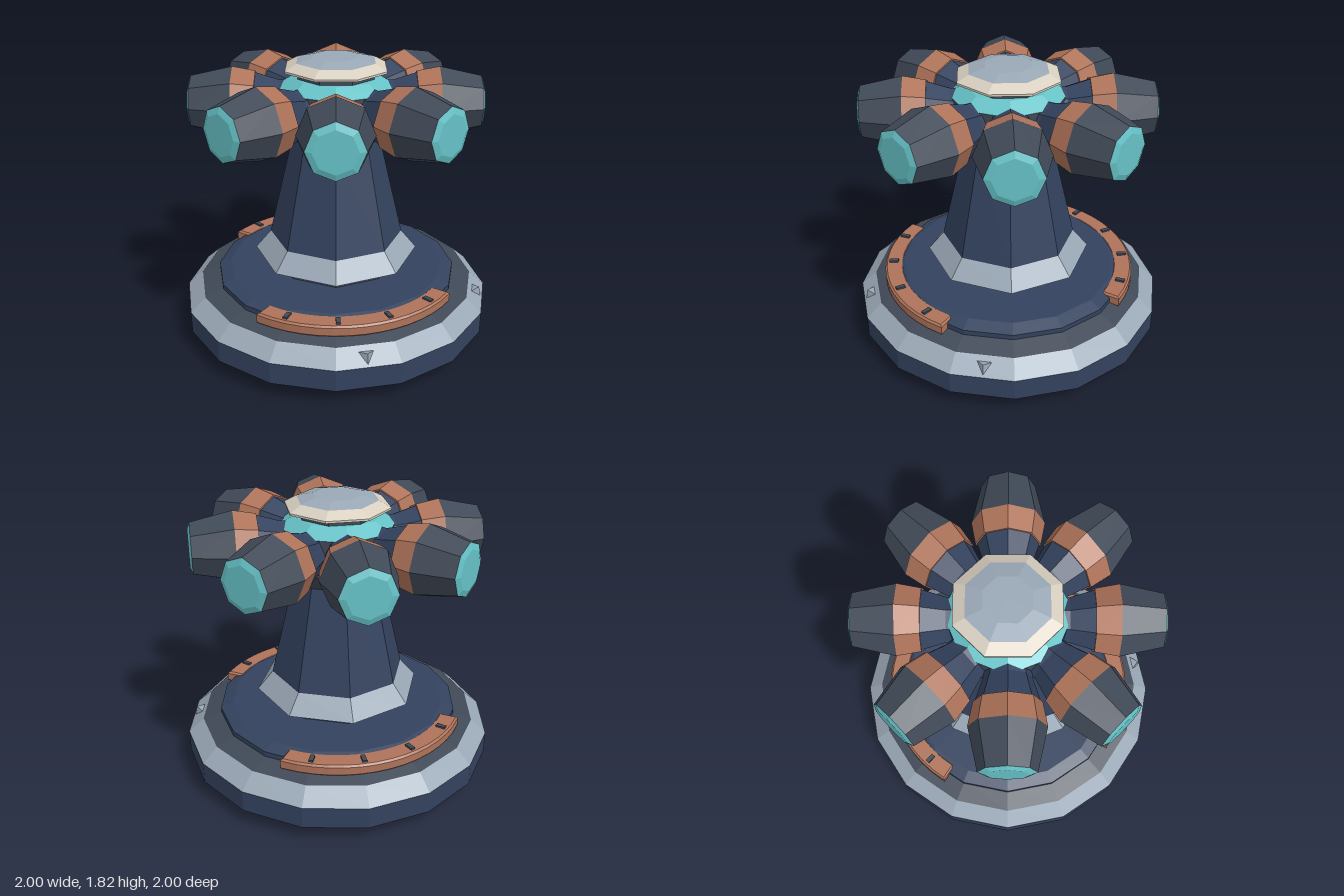
import * as THREE from 'three';

const material = (name, color) => {
  const m = new THREE.MeshStandardMaterial({ color });
  m.name = name;
  return m;
};

export function createModel() {
  const navy = material('navy', 0x33425e);
  const charcoal = material('charcoal', 0x404957);
  const teal = material('teal', 0x66c2c7);
  const copper = material('copper', 0xae7359);
  const steel = material('steel', 0x9aa8b6);
  const ivory = material('ivory', 0xd8cfc0);

  const model = new THREE.Group();
  model.name = 'turretTower';

  // Faceted mesh with one normal per face
  const add = (parent, name, geometry, mat) => {
    const g = geometry.index ? geometry.toNonIndexed() : geometry;
    g.computeVertexNormals();
    const mesh = new THREE.Mesh(g, mat);
    mesh.name = name;
    parent.add(mesh);
    return mesh;
  };
  // Turned part from [radius, height] pairs
  const turned = (points, sides) =>
    new THREE.LatheGeometry(points.map(([r, y]) => new THREE.Vector2(r, y)), sides);

  // Sixteen-sided base
  const base = new THREE.Group();
  base.name = 'base';
  model.add(base);
  add(base, 'baseFoot', turned([[0, 0], [0.82, 0], [1, 0.11]], 16), charcoal);
  add(base, 'baseBand', turned([[1, 0.11], [1, 0.25]], 16), navy);
  add(base, 'baseBevel', turned([[1, 0.25], [0.9, 0.34]], 16), steel);
  add(base, 'baseShoulder', turned([[0.9, 0.34], [0.77, 0.38]], 16), charcoal);
  add(base, 'deck', turned([[0.78, 0.37], [0.78, 0.41], [0.7, 0.44], [0, 0.44]], 16), navy);

  // Two curved copper rails with dark notches
  for (const start of [10, 190]) {
    const a = THREE.MathUtils.degToRad(start + 1);
    const b = THREE.MathUtils.degToRad(start + 93);
    const arc = new THREE.Shape();
    arc.absarc(0, 0, 0.815, a, b, false);
    arc.absarc(0, 0, 0.715, b, a, true);
    const rail = new THREE.ExtrudeGeometry(arc, {
      depth: 0.05, curveSegments: 7, bevelSize: 0.012, bevelThickness: 0.012, bevelSegments: 1,
    });
    rail.rotateX(-Math.PI / 2).translate(0, 0.372, 0);
    add(base, 'copperRail', rail, copper);
    for (let i = 0; i < 4; i++) {
      const notch = add(base, 'railNotch', new THREE.BoxGeometry(0.06, 0.02, 0.028), charcoal);
      const t = THREE.MathUtils.degToRad(start + 13 + 23 * i);
      notch.position.set(Math.cos(t) * 0.77, 0.436, -Math.sin(t) * 0.77);
      notch.rotation.y = t;
    }
  }

  // Small three-sided studs on the front of the bevel
  for (const side of [-1, 1]) {
    const mount = new THREE.Group();
    mount.name = 'bevelStud';
    mount.rotation.y = side * THREE.MathUtils.degToRad(34);
    const stud = add(mount, 'stud', new THREE.ConeGeometry(0.065, 0.05, 3), steel);
    stud.position.set(0, 0.308, 0.94);
    stud.rotation.x = 0.73;
    base.add(mount);
  }

  // Octagonal collar, column and hub
  add(model, 'collarUnderside', turned([[0.39, 0.43], [0.39, 0.45], [0.53, 0.53]], 8), charcoal);
  add(model, 'collar', turned([[0.53, 0.53], [0.43, 0.65]], 8), steel);
  add(model, 'column', turned([[0.43, 0.65], [0.275, 1.3]], 8), navy);
  add(model, 'hub', turned([[0.275, 1.3], [0.37, 1.41], [0.37, 1.64]], 8), charcoal);
  add(model, 'hubCrown', turned([[0.37, 1.64], [0.27, 1.7], [0, 1.7]], 8), teal);

  // Domed cap, turned half a side from the hub
  const cap = new THREE.Group();
  cap.name = 'cap';
  cap.rotation.y = Math.PI / 8;
  model.add(cap);
  add(cap, 'capNeck', turned([[0.25, 1.69], [0.25, 1.74], [0.33, 1.745]], 8), charcoal);
  add(cap, 'capRim', turned([[0.33, 1.742], [0.33, 1.755], [0.255, 1.795]], 8), ivory);
  add(cap, 'capTop', turned([[0.255, 1.795], [0.15, 1.82], [0, 1.82]], 8), steel);

  // Eight radial barrels
  const barrelParts = [
    ['barrelNeck', [[0.14, 0.3], [0.14, 0.35], [0.185, 0.49]], navy],
    ['barrelBand', [[0.185, 0.49], [0.195, 0.49], [0.222, 0.63]], copper],
    ['barrelBody', [[0.222, 0.63], [0.165, 0.885]], charcoal],
    ['barrelLens', [[0.165, 0.885], [0.125, 0.9], [0, 0.9]], teal],
  ];
  for (let i = 0; i < 8; i++) {
    const barrel = new THREE.Group();
    barrel.name = 'barrel';
    barrel.position.y = 1.533;
    barrel.rotation.y = (i * Math.PI) / 4;
    for (const [name, profile, mat] of barrelParts) {
      add(barrel, name, turned(profile, 8).rotateX(Math.PI / 2), mat);
    }
    model.add(barrel);
  }

  return model;
}
